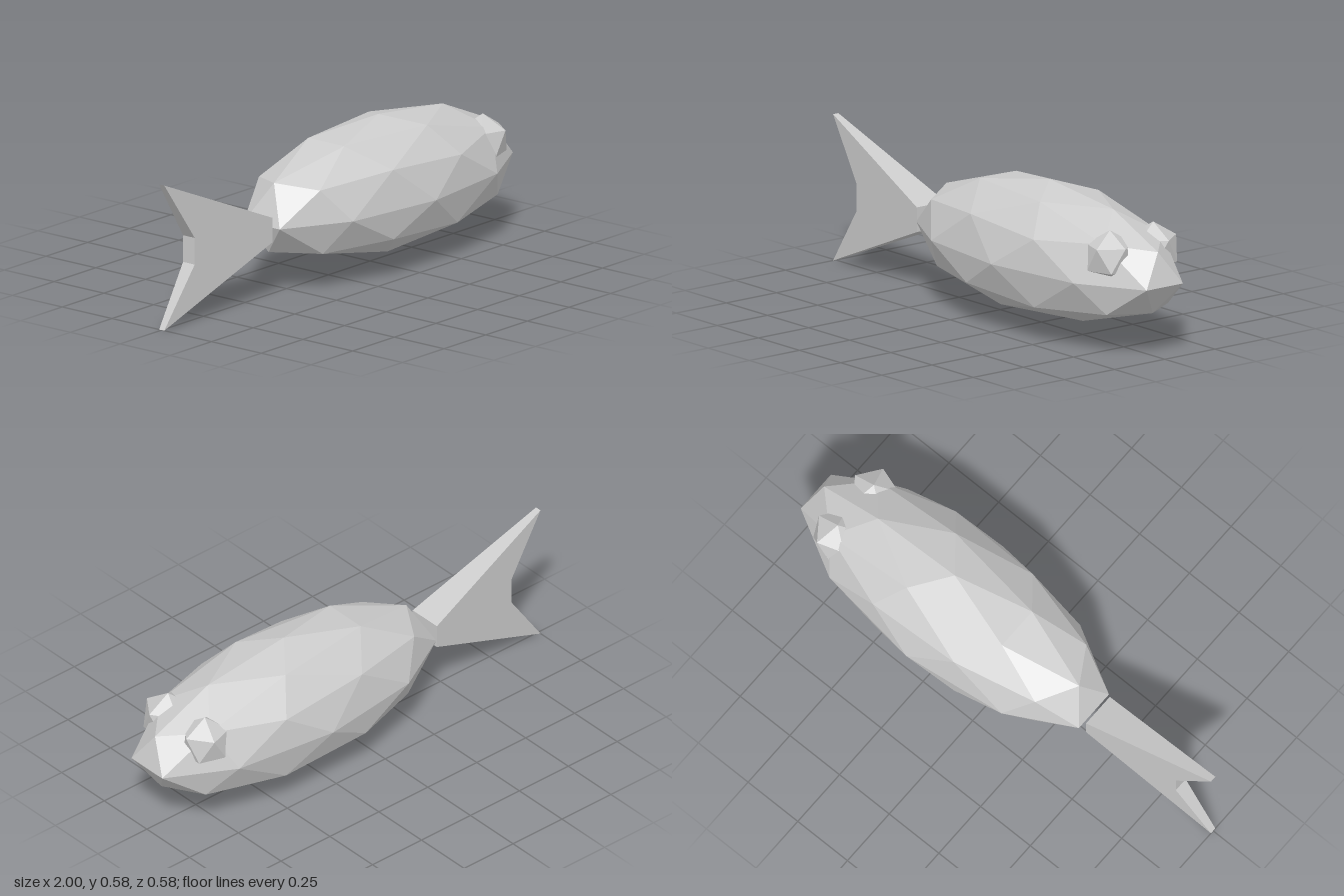
import * as THREE from 'three';

const material = new THREE.MeshStandardMaterial({ color: 0xcccccc, flatShading: true });

// Icosphere with a corner pointing up and its upper ring starting at +x
function icosphere(detail) {
  const g = new THREE.IcosahedronGeometry(1, detail);
  g.rotateX(-Math.atan((1 + Math.sqrt(5)) / 2));
  g.rotateY(Math.PI / 2);
  return g;
}

// Apply a rule to every vertex
function reshape(geometry, rule) {
  const p = geometry.attributes.position;
  const v = new THREE.Vector3();
  for (let i = 0; i < p.count; i++) {
    rule(v.fromBufferAttribute(p, i));
    p.setXYZ(i, v.x, v.y, v.z);
  }
  geometry.computeVertexNormals();
  return geometry;
}

// Belly flattening per lower ring: height of ring, then factor by angle from the nose
const bellyRings = [
  { y: -1, factors: { 0: 0.785 } },
  { y: -0.8507, factors: { 36: 0.79, 108: 0.83, 180: 0.69 } },
  { y: -0.5257, factors: { 0: 0.77, 72: 0.93, 144: 0.85 } },
  { y: -0.4472, factors: { 36: 0.92, 108: 0.92, 180: 0.89 } },
];

function flattenBelly(v) {
  const ring = bellyRings.find((r) => Math.abs(r.y - v.y) < 0.02);
  if (!ring) return;
  const angle = Math.abs(Math.round(THREE.MathUtils.radToDeg(Math.atan2(v.z, v.x))));
  v.y *= ring.y === -1 ? ring.factors[0] : ring.factors[angle] ?? 0.85;
}

export function createModel() {
  const model = new THREE.Group();
  const add = (name, geometry) => {
    const mesh = new THREE.Mesh(geometry, material);
    mesh.name = name;
    model.add(mesh);
    return mesh;
  };

  // Long faceted body with a flatter belly
  const body = reshape(icosphere(1), flattenBelly);
  body.scale(0.736, 0.292, 0.292);
  body.translate(0.3, 0.29, 0);
  add('body', body);

  // Eyes set into both sides of the head
  for (const side of [1, -1]) {
    const eye = add(side > 0 ? 'rightEye' : 'leftEye', icosphere(0));
    eye.geometry.scale(0.106, 0.106, 0.106);
    eye.position.set(0.798, 0.388, side * 0.108);
  }

  // Forked tail, thinning towards its tips
  const outline = [[-0.42, 0.24], [-0.42, 0.338], [-1, 0.585], [-0.837, 0.342], [-0.837, 0.235], [-1, 0.003]];
  const shape = new THREE.Shape(outline.map(([x, y]) => new THREE.Vector2(x, y)));
  const tail = new THREE.ExtrudeGeometry(shape, { depth: 2, bevelEnabled: false });
  tail.translate(0, 0, -1);
  add('tailFin', reshape(tail, (v) => {
    v.z *= THREE.MathUtils.mapLinear(v.x, -1, -0.42, 0.013, 0.071);
  }));

  return model;
}
